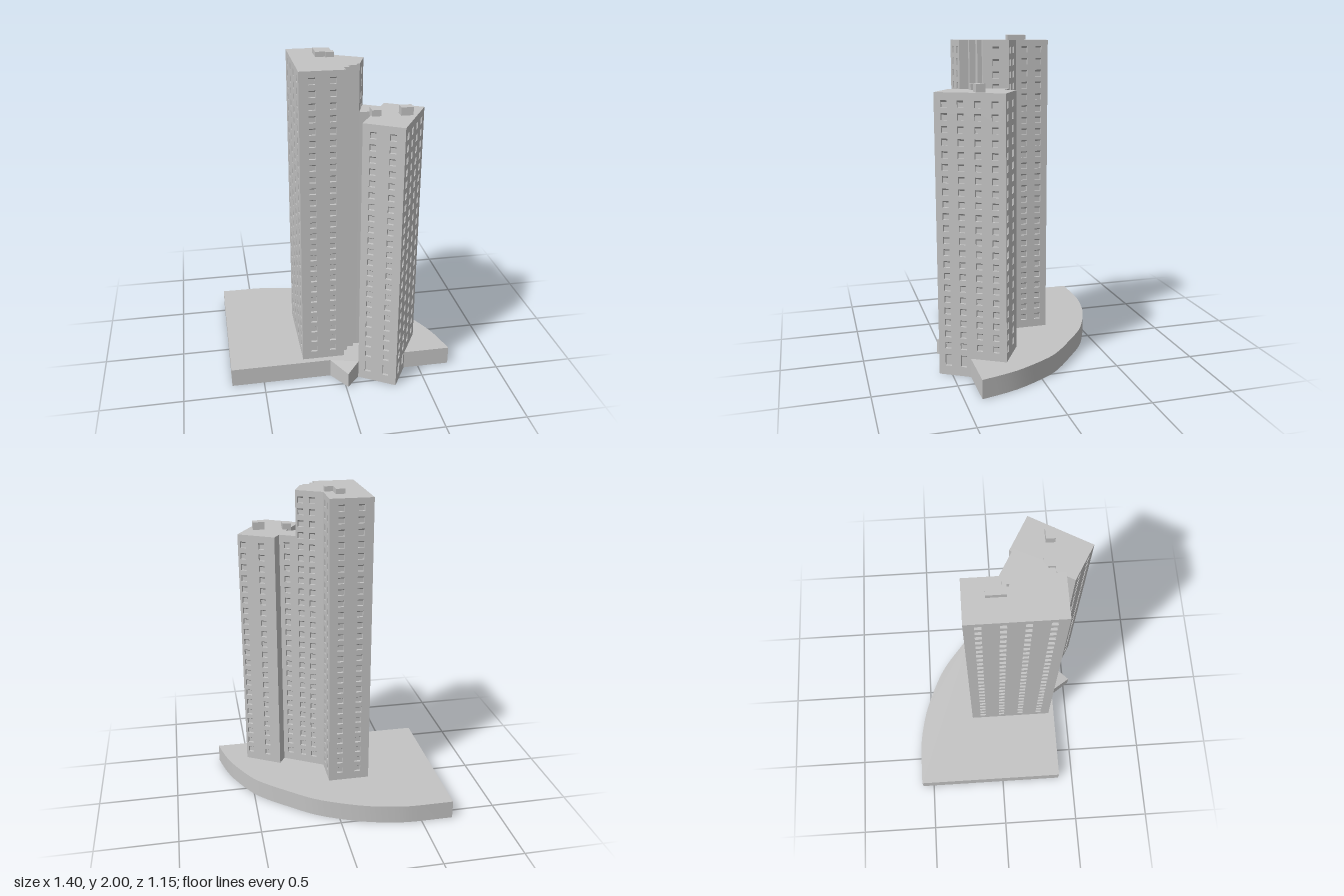
import * as THREE from 'three';
import { mergeGeometries, toCreasedNormals } from 'three/addons/utils/BufferGeometryUtils.js';

const concrete = new THREE.MeshStandardMaterial({ color: 0xc4c4c4 });
concrete.name = 'concrete grey';

const PODIUM_TOP = 0.117;
const WIN = { w: 0.038, h: 0.04, depth: 0.016, head: 0.011 };
const FIRST_ROW = 0.188, STOREY = 0.0719;

function add(parent, name, geometry) {
  const mesh = new THREE.Mesh(geometry, concrete);
  mesh.name = name;
  parent.add(mesh);
  return mesh;
}

// Plan outline given as [x, z] pairs
const planShape = (pts) => new THREE.Shape(pts.map(([x, z]) => new THREE.Vector2(x, -z)));

function flatCap(pts, y, down = false) {
  const g = new THREE.ShapeGeometry(planShape(pts));
  g.rotateX(-Math.PI / 2);
  if (down) {
    const idx = g.index.array;
    for (let i = 0; i < idx.length; i += 3) [idx[i], idx[i + 1]] = [idx[i + 1], idx[i]];
    g.computeVertexNormals();
  }
  return g.translate(0, y, 0);
}

// Window recess: sloped head, straight sides and sill, and a pane at the back
function recess(cx, cy, w, h) {
  const x0 = cx - w / 2, x1 = cx + w / 2, y0 = cy - h / 2, y1 = cy + h / 2;
  const outer = [[x0, y0, 0], [x1, y0, 0], [x1, y1, 0], [x0, y1, 0]];
  const t = y1 - WIN.head, d = -WIN.depth;
  const inner = [[x0, y0, d], [x1, y0, d], [x1, t, d], [x0, t, d]];
  const pos = [];
  const quad = (a, b, c, e) => pos.push(...a, ...b, ...c, ...a, ...c, ...e);
  quad(...inner);
  for (let i = 0; i < 4; i++) {
    const j = (i + 1) % 4;
    quad(outer[i], outer[j], inner[j], inner[i]);
  }
  const g = new THREE.BufferGeometry();
  g.setAttribute('position', new THREE.Float32BufferAttribute(pos, 3));
  g.computeVertexNormals();
  return g;
}

// Upright wall from a to b (left to right seen from outside) with a window grid
function wall(a, b, y0, y1, { cols = [], from = 0, to = 0, tall = [] } = {}) {
  const u = new THREE.Vector3(b[0] - a[0], 0, b[1] - a[1]);
  const len = u.length();
  u.normalize();
  const up = new THREE.Vector3(0, 1, 0);
  const n = new THREE.Vector3().crossVectors(u, up);

  const windows = [];
  for (const c of cols) {
    for (let r = from; r < to; r++) windows.push([c * len, FIRST_ROW + r * STOREY, WIN.w, WIN.h]);
  }
  for (const c of tall) windows.push([c * len, 0.094, WIN.w, 0.072]);

  const shape = new THREE.Shape();
  shape.moveTo(0, y0).lineTo(len, y0).lineTo(len, y1).lineTo(0, y1).closePath();
  for (const [x, y, w, h] of windows) {
    const hole = new THREE.Path();
    hole.moveTo(x - w / 2, y - h / 2).lineTo(x - w / 2, y + h / 2)
      .lineTo(x + w / 2, y + h / 2).lineTo(x + w / 2, y - h / 2).closePath();
    shape.holes.push(hole);
  }
  const face = new THREE.ShapeGeometry(shape).toNonIndexed();
  face.deleteAttribute('uv');
  const g = mergeGeometries([face, ...windows.map((w) => recess(...w))]);
  const m = new THREE.Matrix4().makeBasis(u, up, n).setPosition(a[0], 0, a[1]);
  return g.applyMatrix4(m);
}

// Tower from a plan outline; walls maps an edge index to its windows (null = no wall)
function tower(name, plan, height, walls) {
  const group = new THREE.Group();
  group.name = name;
  plan.forEach((a, i) => {
    const spec = walls[i];
    if (spec === null) return;
    add(group, 'wall', wall(a, plan[(i + 1) % plan.length], spec?.base ?? 0, height, spec));
  });
  add(group, 'roof', flatCap(plan, height));
  add(group, 'underside', flatCap(plan, 0, true));
  return group;
}

function roofBox(parent, x0, x1, z0, z1, y0, y1) {
  const g = new THREE.BoxGeometry(x1 - x0, y1 - y0, z1 - z0);
  add(parent, 'roofHousing', g.translate((x0 + x1) / 2, (y0 + y1) / 2, (z0 + z1) / 2));
}

export function createModel() {
  const model = new THREE.Group();
  model.name = 'towerBlock';

  // Podium with a sweeping curved back edge
  const curve = new THREE.SplineCurve([
    [0.7, 0.4], [0.637, 0.178], [0.52, -0.045], [0.43, -0.15], [0.3, -0.262], [0.15, -0.38],
    [-0.013, -0.464], [-0.185, -0.528], [-0.37, -0.567], [-0.5, -0.575],
  ].map(([x, z]) => new THREE.Vector2(x, z)));
  const edge = curve.getPoints(36).map((p) => [p.x, p.y]);
  const podium = new THREE.ExtrudeGeometry(
    planShape([[-0.7, -0.575], [-0.7, 0.4], ...edge]), { depth: PODIUM_TOP, bevelEnabled: false });
  podium.rotateX(-Math.PI / 2);
  add(model, 'podium', toCreasedNormals(podium, 0.5));

  // Entrance wedge whose top dips towards its front corner
  const wedge = new THREE.ExtrudeGeometry(
    planShape([[-0.077, 0.4], [0.013, 0.535], [0.095, 0.445], [0.12, 0.4]]),
    { depth: PODIUM_TOP, bevelEnabled: false });
  wedge.rotateX(-Math.PI / 2);
  const p = wedge.attributes.position;
  for (let i = 0; i < p.count; i++) {
    if (p.getY(i) > 0.05 && p.getZ(i) > 0.5) p.setY(i, 0.095);
  }
  wedge.computeVertexNormals();
  add(model, 'entranceWedge', wedge);

  // Tall tower with a stepped inner corner
  const tall = tower('tallTower', [
    [-0.245, 0.362], [0.017, 0.362], [0.017, 0.307], [0.047, 0.307], [0.047, 0.27], [0.097, 0.27],
    [0.097, 0.243], [0.118, 0.243], [0.17, 0.097], [0.017, 0.01], [0.017, -0.192], [-0.245, -0.192],
  ], 1.97, {
    0: { cols: [0.28, 0.73], to: 25 },
    7: { cols: [0.5], from: 21, to: 25, base: 1.66 },
    8: { cols: [0.18, 0.6], to: 25 },
    9: { cols: [0.26, 0.7], to: 25 },
    10: { cols: [0.27, 0.72], to: 25 },
    11: { cols: [0.14, 0.38, 0.62, 0.86], to: 25 },
  });
  roofBox(tall, -0.102, -0.045, -0.067, 0.045, 1.96, 2);
  roofBox(tall, -0.045, 0.005, 0.02, 0.06, 1.96, 2);
  model.add(tall);

  // Lower tower, turned thirty degrees
  const low = tower('lowTower', [
    [0.095, 0.445], [0.307, 0.572], [0.515, 0.208], [0.302, 0.088],
    [0.265, 0.15], [0.17, 0.097], [0.118, 0.243], [0.21, 0.245],
  ], 1.69, {
    0: { cols: [0.25, 0.72], to: 21, tall: [0.25, 0.72] },
    1: { cols: [0.14, 0.37, 0.61, 0.85], to: 21, tall: [0.14, 0.37] },
    2: { cols: [0.14, 0.64], to: 21 },
    4: { cols: [0.45], to: 21 },
    5: null,
  });
  roofBox(low, 0.172, 0.225, 0.275, 0.34, 1.68, 1.727);
  roofBox(low, 0.337, 0.409, 0.297, 0.352, 1.68, 1.738);
  model.add(low);

  return model;
}
